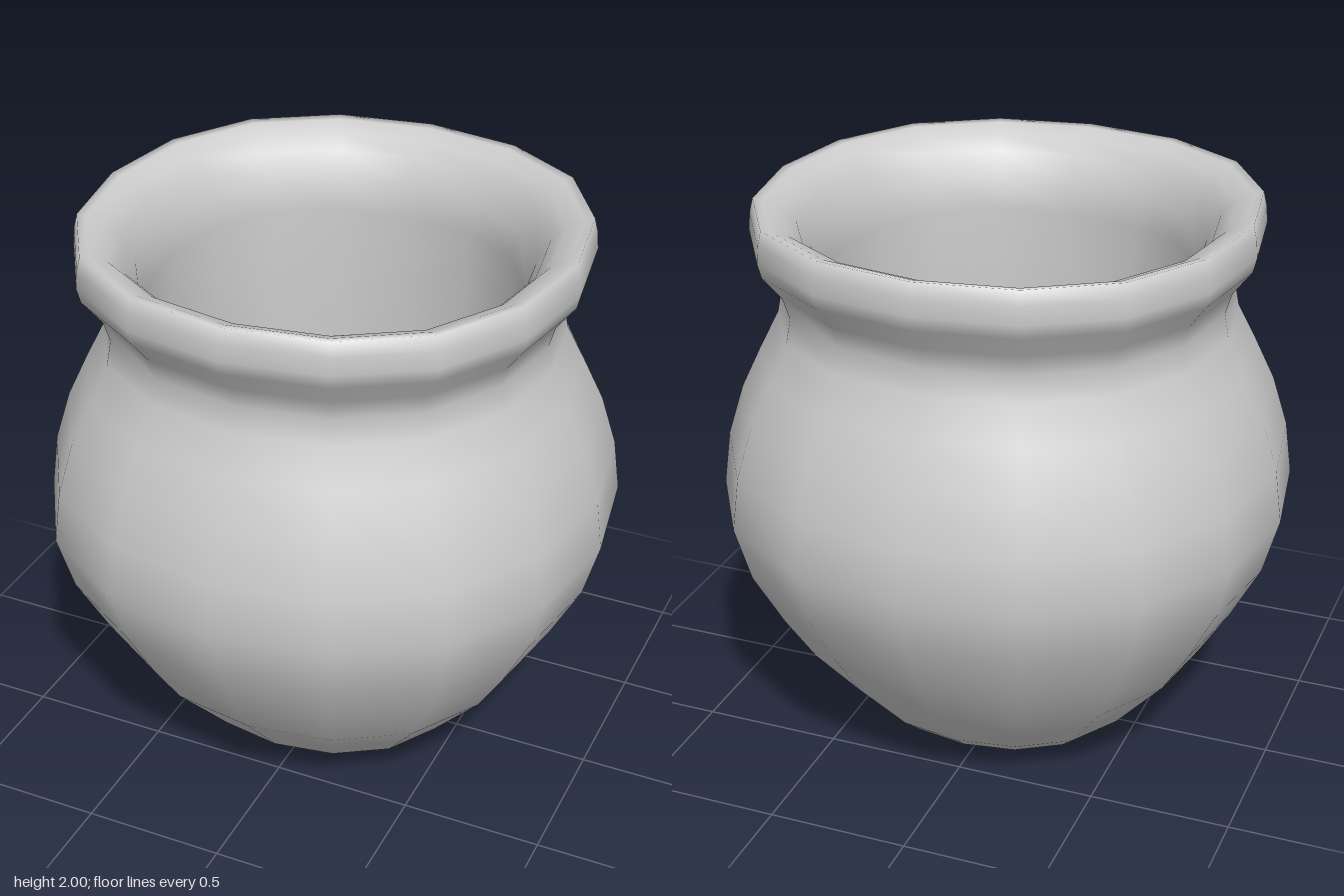
import * as THREE from 'three';
import { mergeVertices } from 'three/addons/utils/BufferGeometryUtils.js';

// Sixteen-sided smooth shell, slightly squared in plan
function potShell(profile) {
  let geo = new THREE.LatheGeometry(profile.map(([r, y]) => new THREE.Vector2(r, y)), 16);
  const p = geo.attributes.position;
  for (let i = 0; i < p.count; i++) {
    const x = p.getX(i), z = p.getZ(i);
    const a = Math.atan2(z, x);
    const r = Math.hypot(x, z) * (1 + 0.016 * (1 - Math.cos(4 * a)));
    const turned = a + 0.013 * Math.sin(4 * a);
    p.setX(i, r * Math.cos(turned));
    p.setZ(i, r * Math.sin(turned));
  }
  // Weld the seam so the normals run smoothly all round
  geo.deleteAttribute('normal');
  geo.deleteAttribute('uv');
  geo = mergeVertices(geo, 1e-4);
  geo.computeVertexNormals();
  return geo;
}

export function createModel() {
  const group = new THREE.Group();
  group.name = 'pot';
  const material = new THREE.MeshStandardMaterial({ color: 0xcccccc });

  // Rounded base, belly, neck and flared rim
  const outside = [
    [0, 0], [0.2, 0.008], [0.37, 0.03], [0.455, 0.07], [0.53, 0.135],
    [0.63, 0.25], [0.735, 0.37], [0.84, 0.54], [0.945, 0.74], [1, 0.94],
    [0.975, 1.13], [0.92, 1.31], [0.85, 1.46], [0.785, 1.59], [0.768, 1.68],
    [0.79, 1.755], [0.855, 1.84], [0.867, 1.89], [0.862, 1.95], [0.85, 2],
  ];
  // Broad rounded lip, straight throat and bowl-shaped floor
  const inside = [
    [0.82, 1.995], [0.76, 1.97], [0.71, 1.92], [0.665, 1.83], [0.64, 1.72],
    [0.64, 1.3], [0.64, 0.9], [0.63, 0.6], [0.57, 0.38], [0.45, 0.22],
    [0.25, 0.14], [0, 0.12],
  ];
  const body = new THREE.Mesh(potShell([...outside, ...inside]), material);
  body.name = 'potBody';
  group.add(body);
  return group;
}
